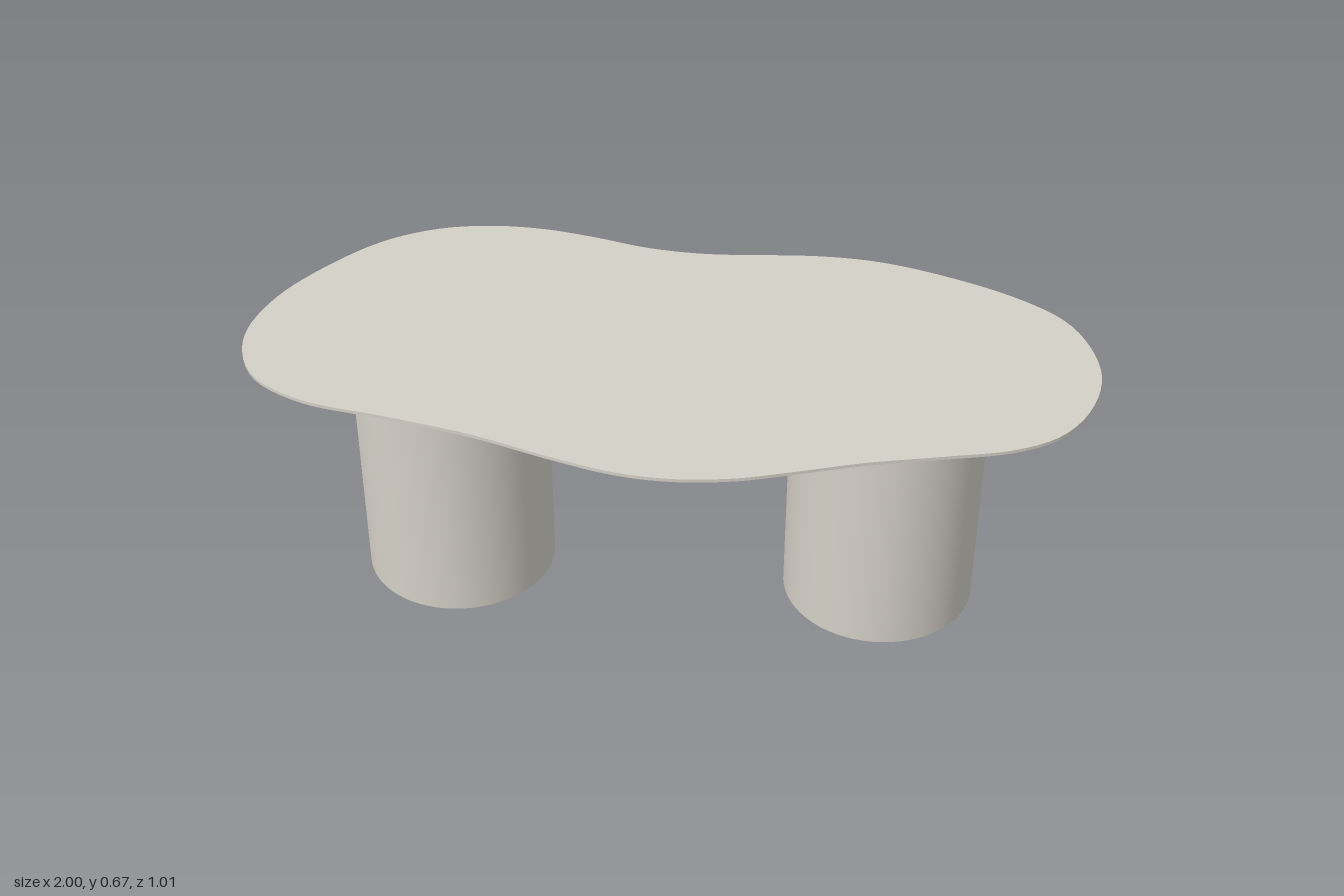
import * as THREE from 'three';

// Outline of the tabletop as (x, z), counter-clockwise seen from above
const OUTLINE = [
  [1, 0], [0.975, -0.13], [0.92, -0.23], [0.8, -0.322], [0.6, -0.41], [0.46, -0.447], [0.33, -0.455],
  [0.2, -0.446], [0.05, -0.433], [-0.1, -0.444], [-0.25, -0.482], [-0.38, -0.506], [-0.52, -0.506],
  [-0.65, -0.474], [-0.77, -0.4], [-0.88, -0.27], [-0.965, -0.12], [-1, 0.03], [-0.983, 0.14],
  [-0.925, 0.235], [-0.8, 0.308], [-0.6, 0.348], [-0.4, 0.392], [-0.2, 0.457], [-0.06, 0.494],
  [0.06, 0.503], [0.2, 0.485], [0.33, 0.445], [0.48, 0.395], [0.65, 0.352], [0.8, 0.31],
  [0.9, 0.248], [0.97, 0.14],
];
const STEPS = 160;

// Closed rings joined by bands; each band has its own vertices, so edges between bands stay sharp
function topGeometry(levels) {
  const curve = new THREE.CatmullRomCurve3(OUTLINE.map(([x, z]) => new THREE.Vector3(x, 0, z)), true);
  const rings = levels.map(([inset, y]) => Array.from({ length: STEPS }, (_, i) => {
    const p = curve.getPointAt(i / STEPS);
    const t = curve.getTangentAt(i / STEPS);
    return [p.x + t.z * inset, y, p.z - t.x * inset];
  }));
  const positions = [];
  const index = [];
  const add = (points) => {
    const start = positions.length / 3;
    points.forEach((p) => positions.push(...p));
    return start;
  };
  // Rim and bevel
  for (let k = 0; k < rings.length - 1; k++) {
    const a = add(rings[k]);
    const b = add(rings[k + 1]);
    for (let i = 0; i < STEPS; i++) {
      const j = (i + 1) % STEPS;
      index.push(a + i, b + i, b + j, a + i, b + j, a + j);
    }
  }
  // Flat upper and lower faces
  [[rings[0], true], [rings[rings.length - 1], false]].forEach(([ring, up]) => {
    const c = add([[0, ring[0][1], 0]]);
    const r = add(ring);
    for (let i = 0; i < STEPS; i++) {
      const j = (i + 1) % STEPS;
      index.push(c, r + (up ? i : j), r + (up ? j : i));
    }
  });
  const geometry = new THREE.BufferGeometry();
  geometry.setAttribute('position', new THREE.Float32BufferAttribute(positions, 3));
  geometry.setIndex(index);
  geometry.computeVertexNormals();
  return geometry;
}

export function createModel() {
  const model = new THREE.Group();
  model.name = 'table';
  const stone = new THREE.MeshStandardMaterial({ color: 0xd4d0c7 });
  stone.name = 'warm grey stone';

  // Tabletop with thin rim and undercut bevel
  const top = new THREE.Mesh(topGeometry([[0, 0.667], [0, 0.659], [0.08, 0.627]]), stone);
  top.name = 'tabletop';
  model.add(top);

  // Two drum legs
  const legGeometry = new THREE.CylinderGeometry(0.234, 0.234, 0.627, 64);
  [['leftLeg', 0.523], ['rightLeg', -0.53]].forEach(([name, x]) => {
    const leg = new THREE.Mesh(legGeometry, stone);
    leg.name = name;
    leg.position.set(x, 0.3135, -0.016);
    model.add(leg);
  });
  return model;
}
